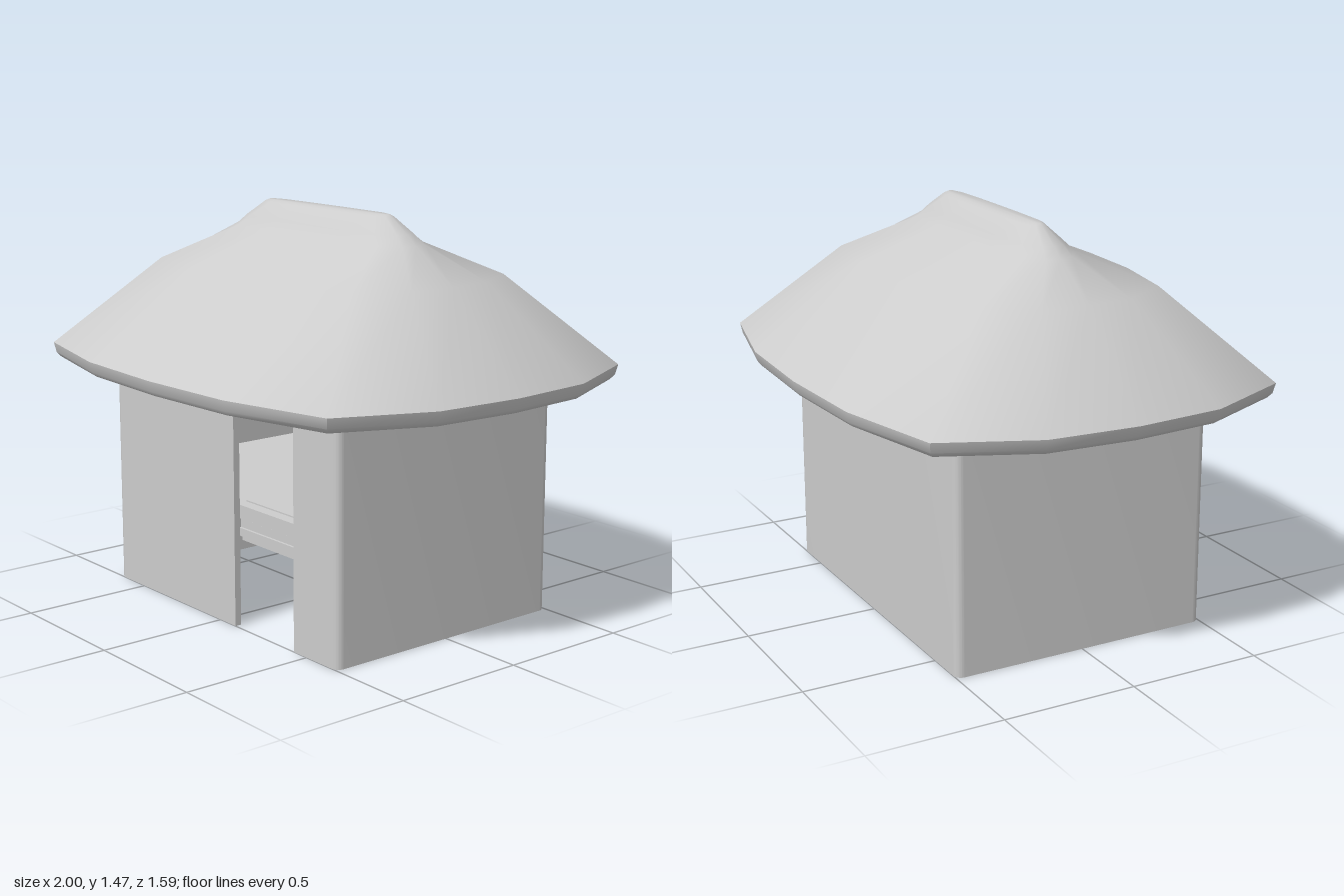
import * as THREE from 'three';
import { toCreasedNormals } from 'three/addons/utils/BufferGeometryUtils.js';

const clay = new THREE.MeshStandardMaterial({ color: 0xcccccc });
clay.name = 'pale grey';

function part(name, geometry, parent) {
  const mesh = new THREE.Mesh(geometry, clay);
  mesh.name = name;
  parent.add(mesh);
  return mesh;
}

// Bulging sixteen-sided plan of the roof, built by mirroring one quarter
const quarter = [[1, 0], [0.975, 0.42], [0.825, 0.85], [0.41, 0.975], [0, 1]];
const plan = [
  ...quarter.slice(0, 4),
  ...quarter.slice(1).reverse().map(([x, z]) => [-x, z]),
  ...quarter.slice(0, 4).map(([x, z]) => [-x, -z]),
  ...quarter.slice(1).reverse().map(([x, z]) => [x, -z]),
];

// Loft the plan through rings of [half width, half depth, height]
function loftRoof(rings) {
  const n = plan.length, pos = [], index = [];
  for (const [w, d, y] of rings) for (const [x, z] of plan) pos.push(x * w, y, z * d);
  for (let r = 0; r < rings.length - 1; r++) {
    for (let i = 0; i < n; i++) {
      const a = r * n + i, b = r * n + (i + 1) % n;
      index.push(a, a + n, b, b, a + n, b + n);
    }
  }
  const g = new THREE.BufferGeometry();
  g.setAttribute('position', new THREE.Float32BufferAttribute(pos, 3));
  g.setIndex(index);
  return toCreasedNormals(g, 0.8);
}

export function createModel() {
  const hut = new THREE.Group();
  hut.name = 'hut';

  // Walls: rounded footprint with a full-height doorway in the front
  const W = 0.665, D = 0.5, R = 0.03, T = 0.025, doorL = 0.09, doorR = 0.43;
  const s = new THREE.Shape();
  s.moveTo(doorR, -D);
  s.lineTo(W - R, -D);
  s.absarc(W - R, -D + R, R, -Math.PI / 2, 0);
  s.absarc(W - R, D - R, R, 0, Math.PI / 2);
  s.absarc(-W + R, D - R, R, Math.PI / 2, Math.PI);
  s.absarc(-W + R, -D + R, R, Math.PI, Math.PI * 1.5);
  s.lineTo(doorL, -D);
  s.lineTo(doorL, -D + T);
  s.lineTo(-W + T, -D + T);
  s.lineTo(-W + T, D - T);
  s.lineTo(W - T, D - T);
  s.lineTo(W - T, -D + T);
  s.lineTo(doorR, -D + T);
  s.closePath();
  const walls = new THREE.ExtrudeGeometry(s, { depth: 1.0, bevelEnabled: false, curveSegments: 6 });
  walls.rotateX(-Math.PI / 2);
  part('walls', toCreasedNormals(walls, 0.6), hut);

  // Raised floor inside
  part('floor', new THREE.BoxGeometry(2 * (W - T), 0.05, 2 * (D - T)), hut).position.set(0, 0.425, 0);

  // Stepped threshold below the floor, set just behind the doorway
  const threshold = new THREE.Group();
  threshold.name = 'threshold';
  hut.add(threshold);
  const steps = [[0.31, 0.33, 0.45], [0.33, 0.36, 0.465], [0.36, 0.39, 0.455], [0.39, 0.43, 0.445], [0.43, 0.455, 0.43]];
  steps.forEach(([y0, y1, z], i) => {
    const m = part('thresholdStep' + (i + 1), new THREE.BoxGeometry(0.38, y1 - y0, 0.07), threshold);
    m.position.set(0.26, (y0 + y1) / 2, z - 0.035);
  });

  // Roof: sloping soffit, rounded eave, hipped slopes and a raised ridge
  part('roof', loftRoof([
    [0.2, 0.1, 1.25],
    [0.62, 0.44, 1.0],
    [0.95, 0.745, 0.87],
    [0.975, 0.77, 0.873],
    [0.99, 0.785, 0.89],
    [1.0, 0.793, 0.928],
    [0.675, 0.415, 1.255],
    [0.485, 0.125, 1.375],
    [0.44, 0.095, 1.41],
    [0.355, 0.045, 1.465],
    [0.34, 0.03, 1.472],
    [0.0, 0.0, 1.472],
  ]), hut);

  return hut;
}
